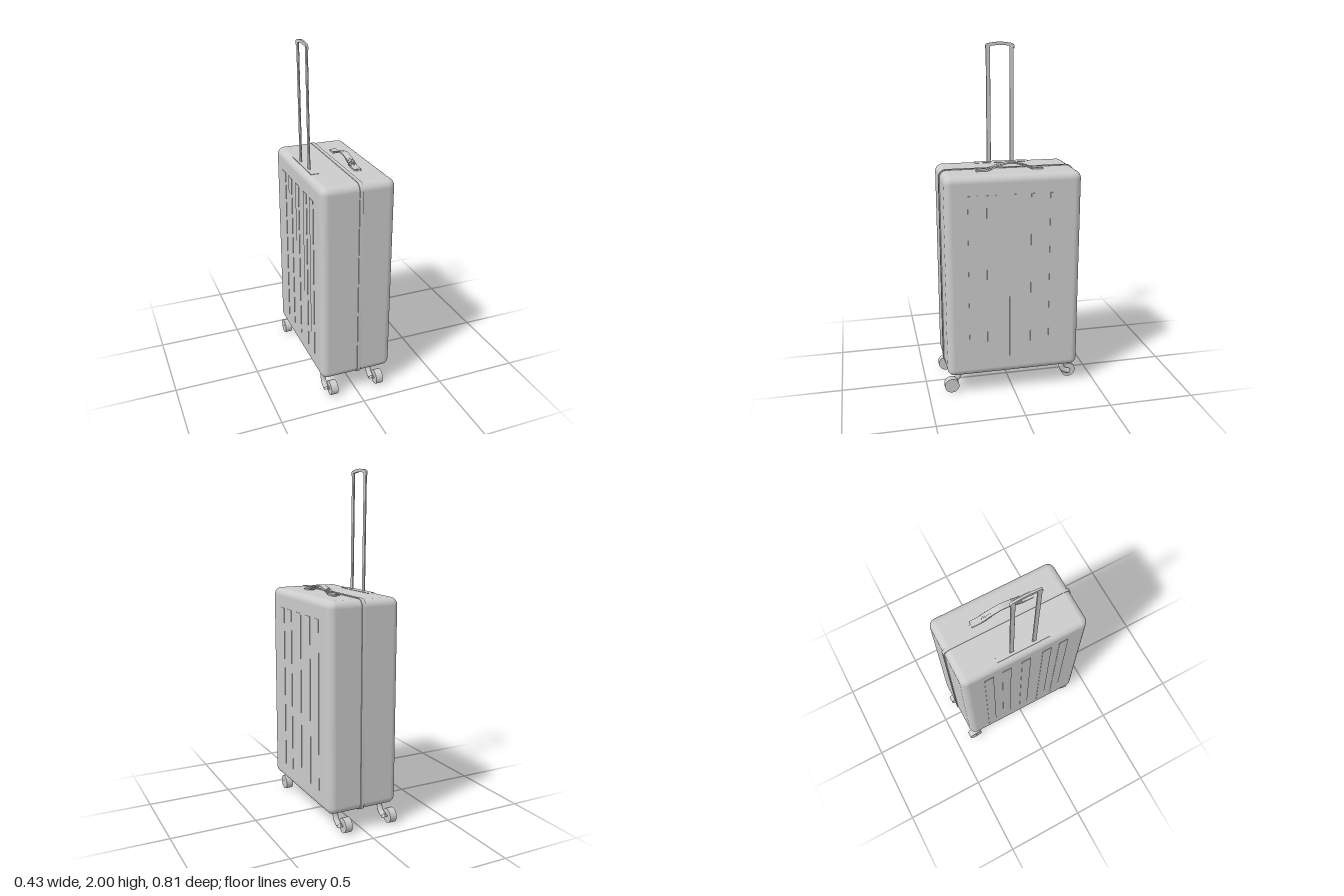
import * as THREE from 'three';
import { RoundedBoxGeometry } from 'three/addons/geometries/RoundedBoxGeometry.js';
import { toCreasedNormals } from 'three/addons/utils/BufferGeometryUtils.js';

const grey = new THREE.MeshStandardMaterial({ color: 0xcccccc, side: THREE.DoubleSide });

function add(parent, name, geometry, x = 0, y = 0, z = 0) {
  const mesh = new THREE.Mesh(geometry, grey);
  mesh.name = name;
  mesh.position.set(x, y, z);
  parent.add(mesh);
  return mesh;
}

// Extrudes a side-on (z, y) shape along x, centred on x = 0.
function extrudeAcross(shape, width) {
  const g = new THREE.ExtrudeGeometry(shape, { depth: width, bevelEnabled: false, curveSegments: 8 });
  g.translate(0, 0, -width / 2);
  g.rotateY(Math.PI / 2);
  return toCreasedNormals(g, 0.6);
}

function roundedRect(w, h, r) {
  const s = new THREE.Shape();
  s.absarc(w / 2 - r, h / 2 - r, r, 0, Math.PI / 2);
  s.absarc(-w / 2 + r, h / 2 - r, r, Math.PI / 2, Math.PI);
  s.absarc(-w / 2 + r, -h / 2 + r, r, Math.PI, Math.PI * 1.5);
  s.absarc(w / 2 - r, -h / 2 + r, r, Math.PI * 1.5, Math.PI * 2);
  s.closePath();
  return s;
}

// A band of even thickness that follows a smooth line of [z, y] points.
function bandShape(points, thickness) {
  const curve = new THREE.SplineCurve(points.map(p => new THREE.Vector2(...p)));
  const upper = curve.getPoints(40);
  const lower = upper.map(p => new THREE.Vector2(p.x, p.y - thickness)).reverse();
  return new THREE.Shape([...upper, ...lower]);
}

function makeCaster(name) {
  const caster = new THREE.Group();
  caster.name = name;
  // Bent fork beside the wheel
  const path = new THREE.CatmullRomCurve3([
    new THREE.Vector3(-0.017, 0.13, 0),
    new THREE.Vector3(-0.017, 0.085, 0),
    new THREE.Vector3(-0.017, 0.06, 0.015),
    new THREE.Vector3(-0.017, 0.045, 0.05),
  ]);
  add(caster, 'casterFork', new THREE.TubeGeometry(path, 16, 0.016, 10));
  const wheel = new THREE.CylinderGeometry(0.0425, 0.0425, 0.042, 32);
  wheel.rotateZ(Math.PI / 2);
  add(caster, 'wheel', wheel, 0.022, 0.0425, 0.05);
  // Axle through the wheel
  const axle = new THREE.CylinderGeometry(0.009, 0.009, 0.05, 16);
  axle.rotateZ(Math.PI / 2);
  add(caster, 'axle', axle, 0.019, 0.0425, 0.05);
  return caster;
}

export function createModel() {
  const model = new THREE.Group();
  model.name = 'suitcase';

  // Hard shell with the bead where its two halves meet
  add(model, 'shell', new RoundedBoxGeometry(0.428, 1.188, 0.778, 6, 0.042), 0, 0.715, 0);
  add(model, 'seamBead', extrudeAcross(roundedRect(0.79, 1.195, 0.045), 0.022), 0.011, 0.715, 0);

  // Shallow vertical ribs on both broad sides
  for (const side of [-1, 1]) {
    for (const z of [0.235, 0.13, 0, -0.123, -0.232]) {
      add(model, 'sideRib', new THREE.BoxGeometry(0.006, 0.97, 0.055), side * 0.2135, 0.715, z);
    }
  }

  // Telescopic pull handle, leaning out slightly
  add(model, 'handlePlate', new THREE.BoxGeometry(0.047, 0.006, 0.318), -0.162, 1.308, -0.003);
  const pull = new THREE.Group();
  pull.name = 'pullHandle';
  pull.position.set(-0.166, 1.29, 0);
  pull.rotation.z = 0.008;
  for (const z of [-0.068, 0.07]) {
    add(pull, 'pullBar', new RoundedBoxGeometry(0.009, 0.69, 0.025, 2, 0.003), 0, 0.345, z);
  }
  const grip = bandShape([[-0.084, 0.69], [-0.07, 0.702], [0, 0.71], [0.07, 0.702], [0.084, 0.69]], 0.018);
  add(pull, 'pullGrip', extrudeAcross(grip, 0.011));
  model.add(pull);

  // Carry handle: arched strap, end tabs and flexible ridges
  const line = [[-0.195, 1.311], [-0.16, 1.317], [-0.12, 1.321], [-0.07, 1.340], [0, 1.354],
    [0.07, 1.340], [0.12, 1.321], [0.16, 1.317], [0.195, 1.311]];
  add(model, 'carryStrap', extrudeAcross(bandShape(line, 0.008), 0.038), 0.075, 0, -0.003);
  for (const side of [-1, 1]) {
    add(model, 'carryTab', new THREE.BoxGeometry(0.04, 0.01, 0.06), 0.075, 1.312, side * 0.158 - 0.003);
    for (let i = 0; i < 6; i++) {
      const ridge = add(model, 'carryRidge', new THREE.BoxGeometry(0.041, 0.011, 0.006),
        0.075, 1.336 - i * 0.0037, side * (0.07 + i * 0.0105) - 0.003);
      ridge.rotation.x = side * 0.35;
    }
  }

  // Four swivel casters; the rear pair is turned round
  for (const x of [-0.165, 0.122]) {
    const front = makeCaster('frontCaster');
    front.position.set(x, 0, 0.313);
    const rear = makeCaster('rearCaster');
    rear.position.set(x, 0, -0.313);
    rear.rotation.y = Math.PI;
    model.add(front, rear);
  }
  return model;
}
